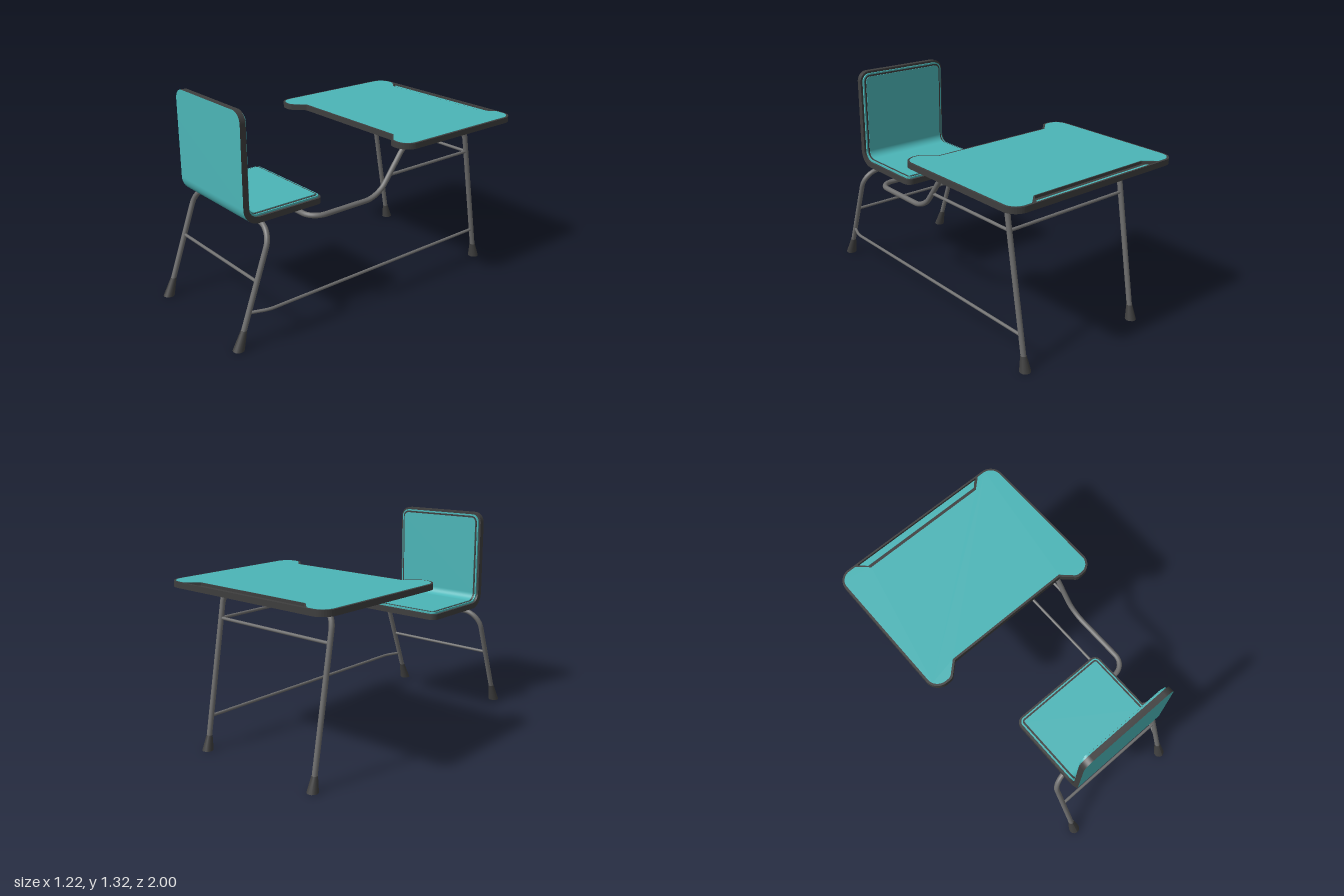
import * as THREE from 'three';
import { mergeGeometries } from 'three/addons/utils/BufferGeometryUtils.js';

const material = (name, color) => {
  const m = new THREE.MeshStandardMaterial({ color });
  m.name = name;
  return m;
};
const V = (x, y, z) => new THREE.Vector3(x, y, z);

export function createModel() {
  const model = new THREE.Group();
  model.name = 'schoolDesk';
  const teal = material('teal laminate', 0x4bb5b7);
  const steel = material('grey steel', 0x6c6c6c);
  const dark = material('dark edging', 0x3e3e3e);

  function add(name, geometry, mat) {
    const mesh = new THREE.Mesh(geometry, mat);
    mesh.name = name;
    model.add(mesh);
    return mesh;
  }

  // Tube through corner points, each corner rounded over the length "bend"
  function tube(name, pts, r, bend = 0) {
    const path = new THREE.CurvePath();
    let from = pts[0];
    for (let i = 1; i < pts.length - 1; i++) {
      const p = pts[i];
      const a = p.clone().add(pts[i - 1].clone().sub(p).setLength(bend));
      const b = p.clone().add(pts[i + 1].clone().sub(p).setLength(bend));
      path.add(new THREE.LineCurve3(from, a));
      // cubic handles at 0.55 give a near-circular bend
      path.add(new THREE.CubicBezierCurve3(a, a.clone().lerp(p, 0.55), b.clone().lerp(p, 0.55), b));
      from = b;
    }
    path.add(new THREE.LineCurve3(from, pts[pts.length - 1]));
    add(name, new THREE.TubeGeometry(path, pts.length > 2 ? 110 : 1, r, 14, false), steel);
  }

  // Tapered rubber foot, flat on the floor and leaning with its leg
  function foot(name, x, z, lean, h) {
    const g = new THREE.CylinderGeometry(0.018, 0.034, h, 12);
    g.translate(0, h / 2, 0);
    const pos = g.attributes.position;
    for (let i = 0; i < pos.count; i++) pos.setZ(i, pos.getZ(i) + lean * pos.getY(i));
    g.computeVertexNormals();
    add(name, g, dark).position.set(x, 0, z);
  }

  // ---- Seat shell: a rounded sheet bent along an L-shaped path ----
  const FLAT = 0.445, B = 0.1, ARC = B * Math.PI / 2, UP = 0.535, LEN = FLAT + ARC + UP;
  function bent(x, s, d) {
    if (s < FLAT) return [x, 0.68 + d, 0.31 + s];
    if (s > FLAT + ARC) return [x, 0.78 + s - FLAT - ARC, 0.855 - d];
    const t = (s - FLAT) / B;
    return [x, 0.78 - (B - d) * Math.cos(t), 0.755 + (B - d) * Math.sin(t)];
  }
  function ribbon(a, b) {
    const pos = [], idx = [];
    a.forEach((p, i) => {
      pos.push(...p, ...b[i]);
      const k = i * 2;
      if (i < a.length - 1) idx.push(k, k + 1, k + 2, k + 1, k + 3, k + 2);
    });
    const g = new THREE.BufferGeometry();
    g.setAttribute('position', new THREE.Float32BufferAttribute(pos, 3));
    g.setIndex(idx);
    g.computeVertexNormals();
    return g;
  }
  function seatLayer(name, inset, d0, d1, mats) {
    const W = 0.326 - inset, r0 = 0.045 - inset, r1 = 0.065 - inset, N = 10;
    const rows = [];
    const corner = (r, k) => {
      const a = (k / N) * Math.PI / 2;
      return [r * (1 - Math.cos(a)), W - r * (1 - Math.sin(a))];
    };
    for (let k = 0; k <= N; k++) {
      const [t, w] = corner(r0, k);
      rows.push([inset + t, w]);
    }
    for (let k = 0; k <= 14; k++) rows.push([FLAT + ARC * k / 14, W]);
    for (let k = N; k >= 0; k--) {
      const [t, w] = corner(r1, k);
      rows.push([LEN - inset - t, w]);
    }
    const side = (sign, d) => rows.map(([s, w]) => bent(sign * w, s, d));
    const rim = (d) => [...side(1, d), ...side(-1, d).reverse(), side(1, d)[0]];
    add(name, mergeGeometries([
      ribbon(side(1, d1), side(-1, d1)),
      ribbon(side(-1, d0), side(1, d0)),
      ribbon(rim(d0), rim(d1)),
    ], true), mats);
  }
  // face towards the sitter, outer face, edge
  seatLayer('seatShell', 0, 0, 0.036, [dark, teal, dark]);
  seatLayer('seatBead', 0.014, 0.034, 0.047, [teal, teal, teal]);
  seatLayer('seatGroove', 0.023, 0.046, 0.0485, [dark, dark, dark]);
  seatLayer('seatPad', 0.034, 0.048, 0.052, [teal, teal, teal]);

  // ---- Desktop: notched front and back, shape y is -z ----
  function roundedShape(points) {
    const s = new THREE.Shape();
    const n = points.length;
    points.forEach(([x, y, r], i) => {
      const p = new THREE.Vector2(x, y);
      const cut = (q) => p.clone().add(new THREE.Vector2(q[0], q[1]).sub(p).setLength(r));
      const a = cut(points[(i + n - 1) % n]), b = cut(points[(i + 1) % n]);
      if (i === 0) s.moveTo(a.x, a.y); else s.lineTo(a.x, a.y);
      const c = a.clone().lerp(p, 0.55), e = b.clone().lerp(p, 0.55);
      if (r > 0) s.bezierCurveTo(c.x, c.y, e.x, e.y, b.x, b.y);
    });
    s.closePath();
    return s;
  }
  function deskShape(i, backNotch) {
    const right = [
      [0.405 + 0.4 * i, backNotch, 0], [0.475 + 0.4 * i, 1 - i, 0],
      [0.61 - i, 1 - i, 0.085 - i], [0.61 - i, 0.056 + i, 0.085 - i],
      [0.485 + 0.4 * i, 0.056 + i, 0.015], [0.405 + 0.4 * i, 0.132 + i, 0],
    ];
    const left = right.map(([x, y, r]) => [-x, y, r]).reverse();
    return roundedShape([...right, ...left]);
  }
  function slab(name, shape, y0, y1, mat) {
    const g = new THREE.ExtrudeGeometry(shape, { depth: y1 - y0, bevelEnabled: false, curveSegments: 10 });
    g.rotateX(-Math.PI / 2);
    g.translate(0, y0, 0);
    add(name, g, mat);
  }
  // dark rim standing down around a thinner board
  const boardShape = deskShape(0.013, 0.922);
  const rimShape = deskShape(0, 0.927);
  rimShape.holes.push(boardShape);
  slab('desktopRim', rimShape, 0.984, 1.0185, dark);
  slab('desktopBoard', boardShape, 0.997, 1.02, teal);
  // pencil tray sunk along the back edge
  slab('trayBase', roundedShape([[0.405, 0.925, 0], [0.474, 0.999, 0], [-0.474, 0.999, 0], [-0.405, 0.925, 0]]),
    0.985, 1.002, dark);
  slab('trayFloor', roundedShape([[0.415, 0.95, 0], [0.453, 0.989, 0], [-0.453, 0.989, 0], [-0.415, 0.95, 0]]),
    0.984, 1.004, teal);
  const lip = new THREE.BoxGeometry(0.96, 0.0345, 0.011);
  lip.translate(0, 1.00125, -0.9945);
  add('trayLip', lip, dark);

  // ---- Desk frame ----
  const R = 0.016, BAR = 0.0095, X = 0.432;
  const deskZ = (y) => -0.917 + 0.186 * y;
  const seatZ = (y) => 0.965 - 0.36 * y;
  const hoop = (x, top, zAt) => [
    V(-x, 0.04, zAt(0.04)), V(-x, top, zAt(top)), V(x, top, zAt(top)), V(x, 0.04, zAt(0.04)),
  ];
  tube('deskLegHoop', hoop(X, 0.975, deskZ), R, 0.12);
  const railStart = V(-0.08, 0.665, 0.475);
  tube('sideRail', [
    railStart, V(X, 0.665, 0.475), V(X, 0.665, -0.01), V(X, 0.975, -0.24),
    V(X, 0.975, deskZ(0.975)), V(X, 0.7, deskZ(0.7)),
  ], R, 0.09);
  const cap = new THREE.SphereGeometry(R, 14, 8);
  cap.translate(railStart.x, railStart.y, railStart.z);
  add('sideRailCap', cap, steel);
  tube('deskCrossbar', [V(-X, 0.782, deskZ(0.782)), V(X, 0.782, deskZ(0.782))], BAR);
  tube('deskSideBar', [V(X, 0.782, -0.098), V(X, 0.782, deskZ(0.782))], BAR);

  // ---- Seat frame ----
  tube('seatLegHoop', hoop(0.392, 0.666, seatZ), R, 0.115);
  tube('seatCrossbar', [V(-0.392, 0.375, seatZ(0.375)), V(0.392, 0.375, seatZ(0.375))], BAR);
  tube('floorBrace', [V(0.392, 0.205, seatZ(0.205)), V(X, 0.205, 0.78), V(X, 0.205, deskZ(0.205))], BAR, 0.03);

  // ---- Feet ----
  for (const [side, s] of [['left', 1], ['right', -1]]) {
    foot(side + 'DeskFoot', s * X, -0.917, 0.186, 0.09);
    foot(side + 'SeatFoot', s * 0.392, 0.966, -0.36, 0.11);
  }
  return model;
}
